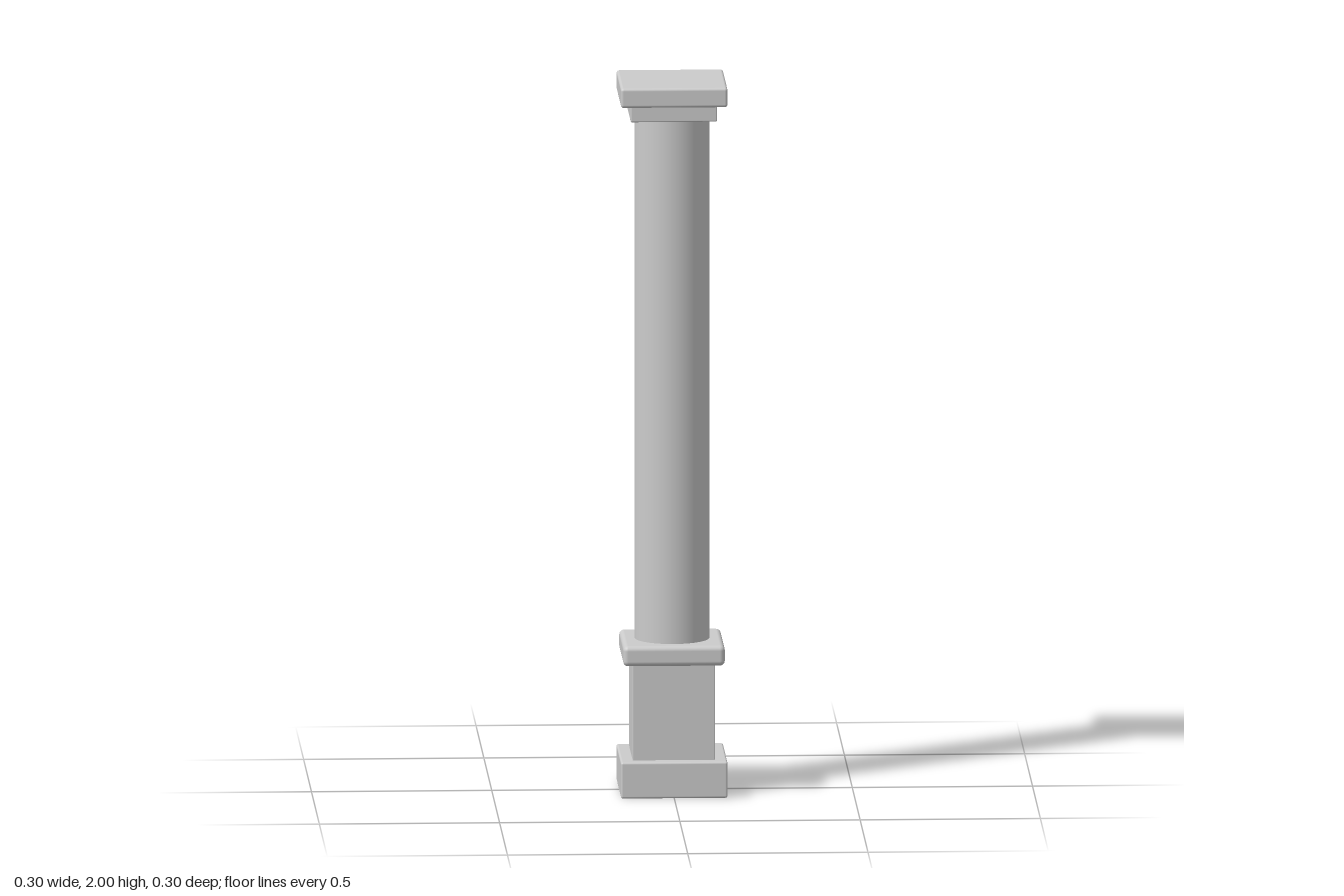
import * as THREE from 'three';
import { RoundedBoxGeometry } from 'three/addons/geometries/RoundedBoxGeometry.js';

export function createModel() {
  const column = new THREE.Group();
  column.name = 'column';
  const stone = new THREE.MeshStandardMaterial({ color: 0xcccccc });

  function add(name, geometry, bottom, top) {
    const mesh = new THREE.Mesh(geometry, stone);
    mesh.name = name;
    mesh.position.y = (bottom + top) / 2;
    column.add(mesh);
  }

  // Square blocks: name, width, bottom, top, edge rounding
  const blocks = [
    ['plinth', 0.296, 0, 0.102, 0.006],
    ['pedestal', 0.228, 0.1, 0.372, 0.002],
    ['pedestalLedge', 0.282, 0.37, 0.427, 0.014],
    ['capitalNeck', 0.24, 1.9, 1.947, 0.004],
    ['capitalSlab', 0.296, 1.945, 2, 0.008],
  ];
  for (const [name, width, bottom, top, radius] of blocks) {
    add(name, new RoundedBoxGeometry(width, top - bottom, width, 4, radius), bottom, top);
  }

  // Round shaft, set slightly into the blocks at both ends
  add('shaft', new THREE.CylinderGeometry(0.104, 0.104, 1.49, 64), 0.418, 1.908);

  return column;
}
